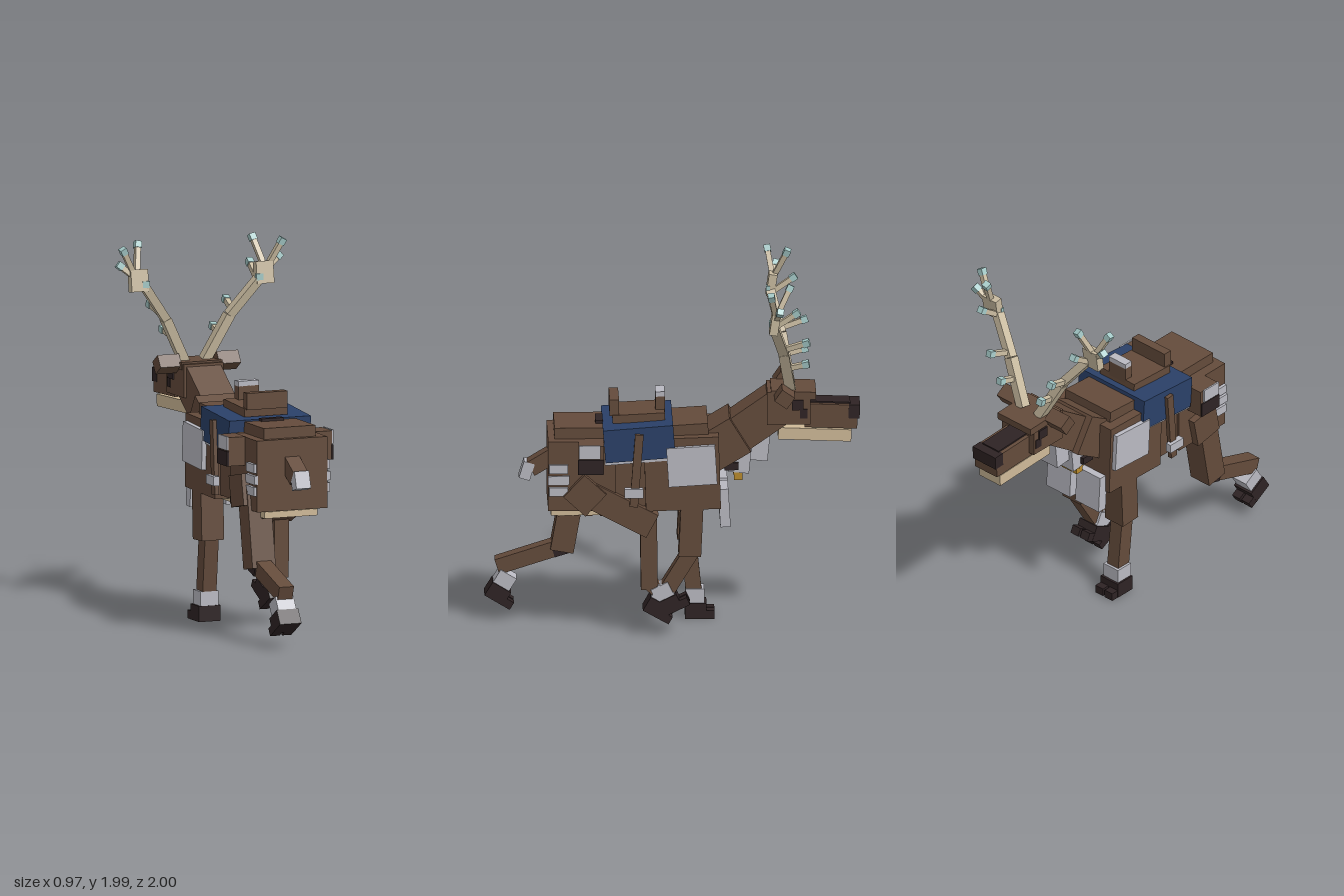
import * as THREE from 'three';

const mat = (name, color) => {
  const m = new THREE.MeshStandardMaterial({ color });
  m.name = name;
  return m;
};

export function createModel() {
  const root = new THREE.Group();
  root.name = 'armouredStag';
  const brown = mat('brownHide', 0x644b3b);
  const dark = mat('darkHoof', 0x2e2324);
  const steel = mat('paleSteel', 0xbabac2);
  const cream = mat('creamBelly', 0xcfba98);
  const antlerMat = mat('antlerBone', 0xc9bba0);
  const tipMat = mat('frostTip', 0xa3c8c6);
  const blue = mat('blueCloth', 0x2a4068);
  const gold = mat('gold', 0xb98b2c);

  // box by size, centre and tilt about x
  const box = (name, m, size, pos, rx = 0, parent = root) => {
    const mesh = new THREE.Mesh(new THREE.BoxGeometry(...size), m);
    mesh.name = name;
    mesh.position.set(...pos);
    mesh.rotation.x = rx;
    parent.add(mesh);
    return mesh;
  };
  // box stretched between two points
  const beam = (name, m, a, b, w, d) => {
    const from = new THREE.Vector3(...a), to = new THREE.Vector3(...b);
    const dir = to.clone().sub(from);
    const mesh = new THREE.Mesh(new THREE.BoxGeometry(w, dir.length(), d), m);
    mesh.name = name;
    mesh.position.copy(from).add(to).multiplyScalar(0.5);
    mesh.quaternion.setFromUnitVectors(new THREE.Vector3(0, 1, 0), dir.normalize());
    root.add(mesh);
    return mesh;
  };
  const both = (fn) => [1, -1].forEach(fn);

  // torso
  box('hindquarters', brown, [0.41, 0.385, 0.36], [0, 0.888, 0.485]);
  box('rump', brown, [0.3, 0.07, 0.3], [0, 1.105, 0.48]);
  box('midsection', brown, [0.38, 0.37, 0.34], [0, 0.9, 0.2]);
  box('chest', brown, [0.44, 0.4, 0.4], [0, 0.9, -0.05], 0.03);
  box('withers', brown, [0.33, 0.07, 0.2], [0, 1.125, -0.09], 0.06);
  box('belly', cream, [0.31, 0.035, 0.34], [0, 0.674, 0.48]);
  box('frontBelly', cream, [0.28, 0.03, 0.3], [0, 0.692, 0.08]);
  for (let i = 0; i < 4; i++) {
    box('bellyStrap', brown, [0.3, 0.02, 0.035], [0, 0.66, 0.37 + i * 0.075]);
  }

  // tail
  beam('tail', brown, [0, 0.95, 0.64], [0, 0.88, 0.755], 0.085, 0.085);
  box('tailTip', steel, [0.085, 0.095, 0.06], [0, 0.87, 0.775], -0.3);

  // neck and head
  beam('neckBase', brown, [0, 0.98, -0.18], [0, 1.09, -0.36], 0.28, 0.22);
  beam('neck', brown, [0, 1.02, -0.27], [0, 1.225, -0.56], 0.2, 0.2);
  box('neckOrnament', steel, [0.085, 0.02, 0.05], [0, 1.255, -0.465], 0.6);
  box('skull', brown, [0.23, 0.18, 0.23], [0, 1.23, -0.62]);
  box('brow', brown, [0.24, 0.04, 0.24], [0, 1.305, -0.645], -0.04);
  box('muzzle', brown, [0.16, 0.13, 0.28], [0, 1.175, -0.848], -0.04);
  box('nose', dark, [0.165, 0.075, 0.06], [0, 1.2, -0.97], -0.04);
  box('noseBridge', dark, [0.12, 0.008, 0.22], [0, 1.246, -0.84], -0.04);
  box('jaw', cream, [0.15, 0.065, 0.39], [0, 1.072, -0.76], -0.04);
  both((s) => {
    box('eye', dark, [0.009, 0.055, 0.062], [s * 0.119, 1.25, -0.668]);
    box('cheekMark', dark, [0.009, 0.052, 0.042], [s * 0.115, 1.2, -0.7]);
    const ear = box('ear', brown, [0.125, 0.075, 0.09], [s * 0.172, 1.315, -0.595], -0.6);
    ear.scale.z = 0.9;
  });

  // antlers: three beam sections with tipped tines
  both((s) => {
    const p = (x, y, z) => [s * x, y, z];
    const path = [p(0.06, 1.32, -0.63), p(0.185, 1.56, -0.59), p(0.33, 1.75, -0.535)];
    beam('antlerBase', antlerMat, path[0], path[1], 0.05, 0.055);
    beam('antlerMiddle', antlerMat, path[1], path[2], 0.045, 0.05);
    box('antlerCrown', antlerMat, [0.1, 0.12, 0.045], p(0.365, 1.785, -0.54), -0.15);
    [
      [p(0.39, 1.82, -0.545), p(0.46, 1.95, -0.52)],
      [p(0.37, 1.82, -0.55), p(0.335, 1.965, -0.62)],
      [p(0.37, 1.79, -0.54), p(0.46, 1.865, -0.565)],
      [p(0.33, 1.75, -0.545), p(0.335, 1.825, -0.655)],
      [p(0.205, 1.585, -0.59), p(0.22, 1.625, -0.71)],
      [p(0.135, 1.46, -0.61), p(0.145, 1.485, -0.71)],
    ].forEach(([a, b]) => {
      beam('tine', antlerMat, a, b, 0.028, 0.028);
      beam('tineTip', tipMat, b, b.map((v, i) => v + (b[i] - a[i]) * 0.01), 0.036, 0.036)
        .scale.y = 0.036 / (0.01 * Math.hypot(...b.map((v, i) => v - a[i])));
    });
    box('crownStud', tipMat, [0.04, 0.035, 0.02], p(0.33, 1.765, -0.52));
  });

  // foot: sock, hoof and two toes
  const foot = (name, x, y, z, rx) => {
    const g = new THREE.Group();
    g.name = name;
    g.position.set(x, y, z);
    g.rotation.x = rx;
    root.add(g);
    box('sock', steel, [0.105, 0.085, 0.1], [0, 0, 0], 0, g);
    box('hoof', dark, [0.125, 0.085, 0.115], [0, -0.078, -0.005], 0, g);
    both((s) => box('toe', dark, [0.055, 0.045, 0.05], [s * 0.034, -0.098, -0.08], 0, g));
  };

  // front legs: right one planted, left one folded back
  both((s) => {
    beam('frontUpperLeg', brown, [s * 0.155, 0.78, -0.105], [s * 0.155, 0.44, -0.09], 0.13, 0.12);
  });
  beam('frontRightLowerLeg', brown, [-0.155, 0.47, -0.085], [-0.155, 0.14, -0.12], 0.08, 0.085);
  foot('frontRightFoot', -0.155, 0.12, -0.125, 0);
  beam('frontLeftLowerLeg', brown, [0.155, 0.46, -0.1], [0.155, 0.23, 0.04], 0.08, 0.085);
  foot('frontLeftFoot', 0.155, 0.22, 0.055, -0.52);

  // hind legs: left one swung forward, right one trailing
  box('leftHaunch', brown, [0.15, 0.165, 0.16], [0.17, 0.79, 0.47], -0.75);
  beam('leftThigh', brown, [0.155, 0.79, 0.45], [0.155, 0.61, 0.11], 0.14, 0.14);
  beam('leftShin', brown, [0.155, 0.64, 0.13], [0.155, 0.25, 0.125], 0.085, 0.09);
  beam('leftPastern', brown, [0.155, 0.28, 0.125], [0.155, 0.22, 0.06], 0.075, 0.07);
  foot('hindLeftFoot', 0.155, 0.235, 0.055, 0.45);
  box('rightHaunch', brown, [0.15, 0.17, 0.17], [-0.17, 0.79, 0.48], -0.2);
  beam('rightThigh', brown, [-0.155, 0.8, 0.51], [-0.155, 0.38, 0.585], 0.135, 0.125);
  box('rightKnee', dark, [0.1, 0.04, 0.08], [-0.155, 0.375, 0.59], 0.3);
  beam('rightShin', brown, [-0.155, 0.405, 0.57], [-0.155, 0.29, 0.93], 0.085, 0.085);
  foot('hindRightFoot', -0.155, 0.215, 0.89, -0.55);

  // saddle, cloth and tack
  box('saddleCloth', blue, [0.475, 0.18, 0.375], [0, 1.073, 0.18], 0.075);
  box('clothTrim', steel, [0.45, 0.025, 0.36], [0, 0.978, 0.185], 0.075);
  box('saddleSeat', brown, [0.25, 0.045, 0.28], [0, 1.185, 0.18], 0.05);
  box('cantle', brown, [0.235, 0.09, 0.05], [0, 1.24, 0.31]);
  box('pommel', brown, [0.12, 0.09, 0.05], [0, 1.24, 0.065]);
  box('pommelCap', steel, [0.12, 0.028, 0.05], [0, 1.298, 0.065]);
  box('saddleTie', dark, [0.13, 0.03, 0.04], [0, 1.14, 0.39]);
  both((s) => {
    beam('stirrupStrap', brown, [s * 0.247, 1.13, 0.18], [s * 0.247, 0.73, 0.21], 0.025, 0.045);
    box('stirrup', steel, [0.035, 0.05, 0.1], [s * 0.262, 0.81, 0.21]);
    // saddle bags
    box('saddleBag', brown, [0.1, 0.155, 0.135], [s * 0.252, 1.005, 0.437]);
    box('bagFlap', steel, [0.009, 0.075, 0.115], [s * 0.306, 1.05, 0.447]);
    box('bagFront', dark, [0.009, 0.08, 0.135], [s * 0.305, 0.967, 0.44]);
    // side armour
    box('shoulderPlate', steel, [0.035, 0.215, 0.26], [s * 0.228, 0.95, -0.1], 0.06);
    for (let i = 0; i < 3; i++) {
      box('haunchPlate', steel, [0.02, 0.048, 0.1 + 0.015 * (i % 2)], [s * 0.212, 0.93 - i * 0.062, 0.61]);
    }
    // breast armour, split down the middle
    box('breastPlate', steel, [0.17, 0.21, 0.055], [s * 0.105, 0.7, -0.275], 0.06);
  });

  // throat armour and collar
  box('throatPlate', steel, [0.15, 0.15, 0.1], [0, 1.005, -0.465], -0.1);
  box('collarPlate', steel, [0.2, 0.13, 0.11], [0, 0.935, -0.36], -0.1);
  box('collarStrap', dark, [0.24, 0.04, 0.075], [0, 0.91, -0.315]);
  for (let i = -2; i <= 2; i++) {
    box('collarBell', gold, [0.032, 0.04, 0.045], [i * 0.038, 0.848, -0.352]);
  }
  box('collarBar', gold, [0.19, 0.015, 0.03], [0, 0.865, -0.34]);
  return root;
}
